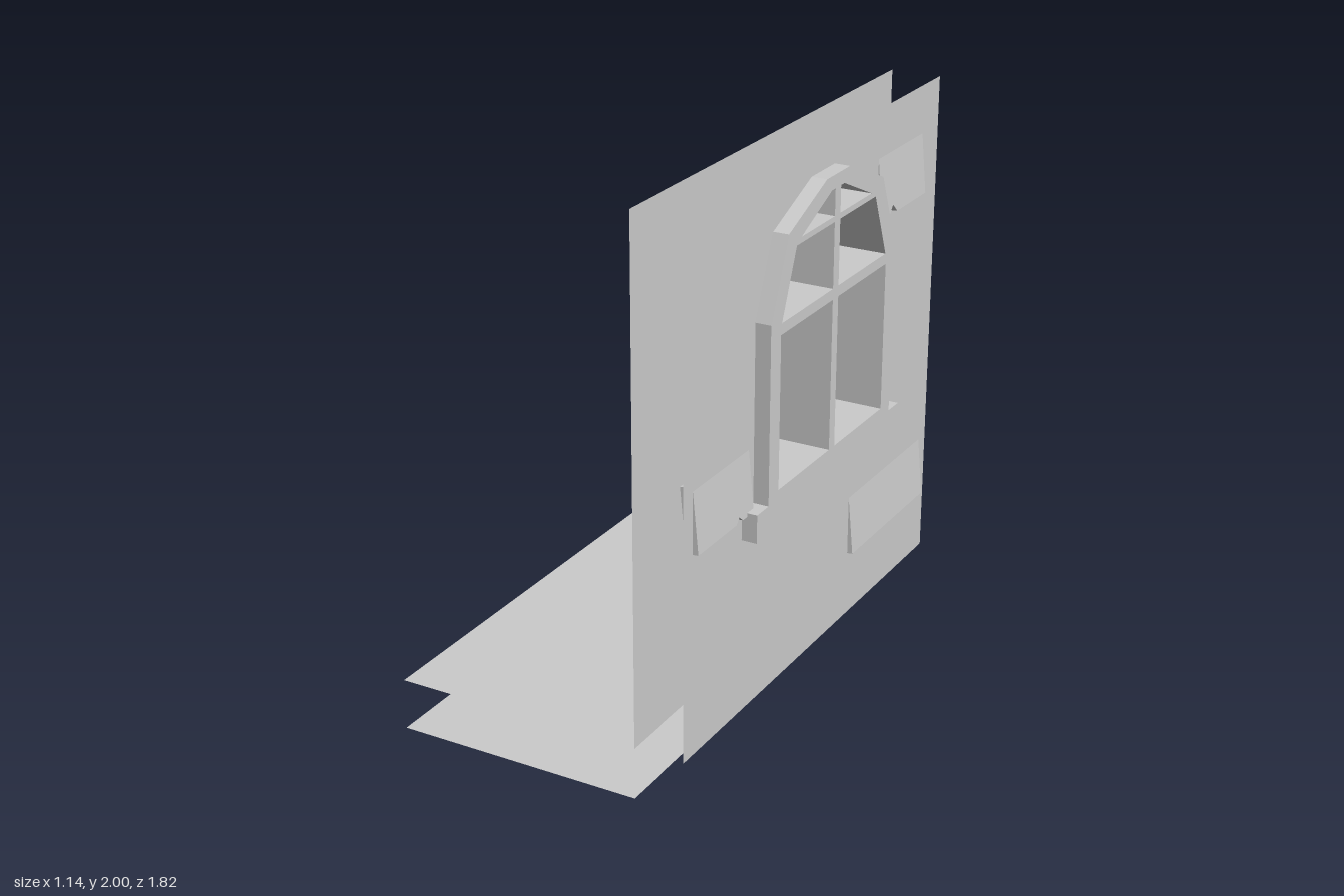
import * as THREE from 'three';

const INNER = 0.333, OUTER = 0.515, FRONT = 0.57; // x of inner wall, outer wall, frame face
const FLOOR = 0.185, TOP = 2, HALF = 0.908;

const grey = new THREE.MeshStandardMaterial({ color: 0xcccccc, flatShading: true, side: THREE.DoubleSide });

const toPoints = (list) => list.map(([u, v]) => new THREE.Vector2(u, v));
const mirror = (list) => list.map(([u, v]) => [-u, v]).reverse();

// Profiles are drawn as (u, y) with u = -z, then turned to face +x
function shapeOf(outline, holes = []) {
  const shape = new THREE.Shape(toPoints(outline));
  for (const hole of holes) shape.holes.push(new THREE.Path(toPoints(hole)));
  return shape;
}

function add(parent, name, geometry, x = 0, y = 0, z = 0) {
  const mesh = new THREE.Mesh(geometry, grey);
  mesh.name = name;
  mesh.position.set(x, y, z);
  parent.add(mesh);
  return mesh;
}

const extrude = (shape, depth) =>
  new THREE.ExtrudeGeometry(shape, { depth, bevelEnabled: false }).rotateY(Math.PI / 2);

// Open tube that lines a pane opening, facing inwards
function liningGeometry(outline, depth) {
  const positions = [];
  outline.forEach(([u, v], i) => {
    const [s, t] = outline[(i + 1) % outline.length];
    positions.push(u, v, 0, u, v, depth, s, t, 0);
    positions.push(s, t, 0, u, v, depth, s, t, depth);
  });
  const geometry = new THREE.BufferGeometry();
  geometry.setAttribute('position', new THREE.Float32BufferAttribute(positions, 3));
  geometry.computeVertexNormals();
  return geometry.rotateY(Math.PI / 2);
}

export function createModel() {
  const model = new THREE.Group();
  model.name = 'windowWall';

  // Pane openings: lower, middle and top, on both sides of the mullion
  const halfPanes = [
    [[0.02, 0.943], [0.385, 0.943], [0.385, 1.476], [0.02, 1.476]],
    [[0.02, 1.514], [0.38, 1.514], [0.287, 1.742], [0.02, 1.742]],
    [[0.02, 1.762], [0.255, 1.762], [0.045, 1.855], [0.02, 1.855]],
  ];
  const panes = [...halfPanes, ...halfPanes.map(mirror)];

  // Two parallel wall sheets, pierced by the panes
  const wallOutline = [[-HALF, FLOOR], [HALF, FLOOR], [HALF, TOP], [-HALF, TOP]];
  const wall = () => new THREE.ShapeGeometry(shapeOf(wallOutline, panes));
  add(model, 'outerWall', wall().rotateY(Math.PI / 2), OUTER);
  add(model, 'innerWall', wall().rotateY(-Math.PI / 2), INNER);

  // Floor and the ceiling sheet below it
  const sheet = new THREE.PlaneGeometry(INNER + FRONT, HALF * 2);
  const sheetX = (INNER - FRONT) / 2;
  add(model, 'floor', sheet.clone().rotateX(-Math.PI / 2), sheetX, FLOOR);
  add(model, 'lowerCeiling', sheet.clone().rotateX(Math.PI / 2), sheetX, 0);

  // Arched frame with sill and glazing bars
  const halfFrame = [
    [0.53, 0.812], [0.53, 0.912], [0.453, 0.912],
    [0.453, 1.53], [0.343, 1.795], [0.083, 1.902],
  ];
  add(model, 'windowFrame', extrude(shapeOf([...halfFrame, ...mirror(halfFrame)], panes), FRONT - OUTER), OUTER);

  // Reveals between the two walls
  const reveals = new THREE.Group();
  reveals.name = 'windowReveals';
  for (const pane of panes) add(reveals, 'reveal', liningGeometry(pane, OUTER - INNER), INNER);
  model.add(reveals);

  // Tilted bricks poking through the outer wall; notch = [u, half width, height]
  const bricks = [
    { from: 0.265, to: 0.853, y: 0.42 },
    { from: 0.422, to: 0.777, y: 1.61, notch: [0.513, 0.03, 0.03] },
    { from: -0.848, to: -0.487, y: 0.895, notch: [-0.58, 0.022, 0.018] },
  ];
  for (const { from, to, y, notch } of bricks) {
    const outline = [[from, 0]];
    if (notch) {
      const [u, w, h] = notch;
      outline.push([u - w, 0], [u, h], [u + w, 0]);
    }
    outline.push([to, 0], [to, 0.224], [from, 0.224]);
    const brick = add(model, 'brick', extrude(shapeOf(outline), 0.044), 0.491, y);
    brick.rotation.z = 0.093;
  }

  return model;
}
